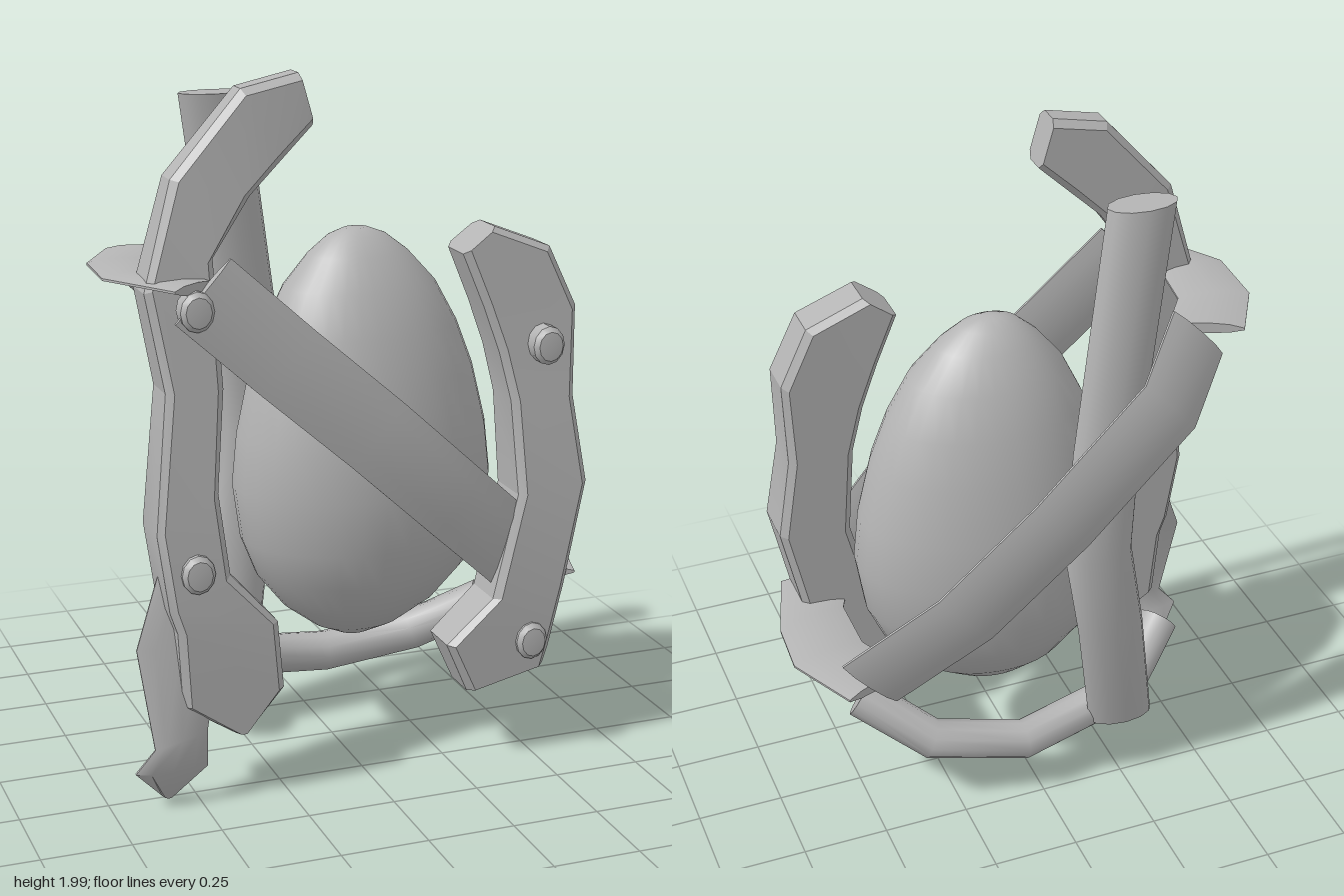
import * as THREE from 'three';
import { toCreasedNormals } from 'three/addons/utils/BufferGeometryUtils.js';

const V = (x, y, z) => new THREE.Vector3(x, y, z);

// Skin a list of equal-sized vertex rings, capped at both ends, facing outward
function loft(rings, crease) {
  const n = rings[0].length;
  const tris = [];
  for (let i = 0; i < rings.length - 1; i++) {
    for (let j = 0; j < n; j++) {
      const k = (j + 1) % n;
      const a = rings[i][j], b = rings[i][k], c = rings[i + 1][k], d = rings[i + 1][j];
      tris.push([a, b, c], [a, c, d]);
    }
  }
  const last = rings[rings.length - 1];
  for (let j = 1; j < n - 1; j++) {
    tris.push([rings[0][0], rings[0][j + 1], rings[0][j]], [last[0], last[j], last[j + 1]]);
  }
  let volume = 0;
  for (const [a, b, c] of tris) volume += a.dot(b.clone().cross(c));
  const pos = [];
  for (const [a, b, c] of tris) {
    for (const p of volume > 0 ? [a, b, c] : [a, c, b]) pos.push(p.x, p.y, p.z);
  }
  const geo = new THREE.BufferGeometry();
  geo.setAttribute('position', new THREE.Float32BufferAttribute(pos, 3));
  return toCreasedNormals(geo, crease);
}

// Piecewise linear lookup in [position, value] pairs sorted by position
function lerpTable(table, t) {
  if (t <= table[0][0]) return table[0][1];
  for (let i = 1; i < table.length; i++) {
    const [t0, v0] = table[i - 1], [t1, v1] = table[i];
    if (t <= t1) return v0 + (v1 - v0) * (t - t0) / (t1 - t0);
  }
  return table[table.length - 1][1];
}
const frontZ = y => lerpTable([[0.2, 0.335], [0.52, 0.352], [0.8, 0.345], [1.2, 0.305], [1.56, 0.28], [1.85, 0.24]], y);
const backZ = y => lerpTable([[0.2, 0.19], [0.8, 0.165], [1.5, 0.14]], y);

// Thick bevelled plate; each station is [leftX, leftY, rightX, rightY]
function plate(stations) {
  const b = 0.02;
  return loft(stations.map(([lx, ly, rx, ry]) => {
    const l = V(lx, ly, 0), r = V(rx, ry, 0);
    const step = Math.min(b / l.distanceTo(r), 0.3);
    const at = (t, front, inset) => {
      const p = l.clone().lerp(r, t);
      p.z = front ? frontZ(p.y) - inset : backZ(p.y) + inset;
      return p;
    };
    return [at(0, true, b), at(step, true, 0), at(1 - step, true, 0), at(1, true, b),
      at(1, false, b), at(1 - step, false, 0), at(step, false, 0), at(0, false, b)];
  }), 0.25);
}

// Thin band with a lens-shaped section; each station is a pair of edge points
function band(pairs, half) {
  const mid = pairs.map(([l, r]) => l.clone().lerp(r, 0.5));
  return loft(pairs.map(([l, r], i) => {
    const tangent = mid[Math.min(i + 1, mid.length - 1)].clone().sub(mid[Math.max(i - 1, 0)]);
    const normal = r.clone().sub(l).cross(tangent).normalize();
    const at = (t, h) => l.clone().lerp(r, t).addScaledVector(normal, h * half);
    return [at(0, 0.2), at(0.2, 0.8), at(0.5, 1), at(0.8, 0.8), at(1, 0.2),
      at(1, -0.2), at(0.8, -0.8), at(0.5, -1), at(0.2, -0.8), at(0, -0.2)];
  }), 0.6);
}

// Diagonal strap of constant width along centre points
function strap(points) {
  const side = V(0.68, 0.73, 0).multiplyScalar(0.113);
  return band(points.map(p => [p.clone().sub(side), p.clone().add(side)]), 0.018);
}

// Tube whose ring axes u and v are given for each path point
function tube(points, axes) {
  const sides = 12;
  return loft(points.map((p, i) => {
    const [u, v] = axes(i);
    return Array.from({ length: sides }, (_, j) => {
      const a = j / sides * Math.PI * 2;
      return p.clone().addScaledVector(u, Math.cos(a)).addScaledVector(v, Math.sin(a));
    });
  }), 0.8);
}

export function createModel() {
  const model = new THREE.Group();
  const grey = new THREE.MeshStandardMaterial({ color: 0xb4b4b4 });
  grey.name = 'grey';
  const add = (name, geo) => {
    const mesh = new THREE.Mesh(geo, grey);
    mesh.name = name;
    model.add(mesh);
    return mesh;
  };

  // Egg-shaped core, wider toward +x
  const profile = [[0, 0.32], [0.12, 0.325], [0.34, 0.36], [0.6, 0.43], [0.82, 0.53], [0.94, 0.64],
    [1, 0.8], [0.96, 0.95], [0.86, 1.12], [0.74, 1.25], [0.58, 1.37], [0.38, 1.46], [0.22, 1.51], [0.09, 1.53], [0, 1.53]];
  const egg = new THREE.LatheGeometry(profile.map(([r, y]) => new THREE.Vector2(r, y)), 32);
  const ep = egg.attributes.position;
  for (let i = 0; i < ep.count; i++) {
    const x = ep.getX(i);
    ep.setXYZ(i, 0.07 + x * (x > 0 ? 0.41 : 0.36), ep.getY(i), ep.getZ(i) * 0.272 - 0.005);
  }
  egg.deleteAttribute('uv');
  add('core', toCreasedNormals(egg, 0.9));

  // Curved side plates
  add('rightPlate', plate([
    [-0.175, 2.0, -0.135, 1.86], [-0.335, 1.965, -0.23, 1.77], [-0.535, 1.74, -0.32, 1.685],
    [-0.62, 1.45, -0.43, 1.53], [-0.573, 1.18, -0.413, 1.18], [-0.615, 0.8, -0.44, 0.9],
    [-0.585, 0.58, -0.413, 0.67], [-0.565, 0.52, -0.28, 0.52], [-0.55, 0.3, -0.26, 0.32],
    [-0.4, 0.2, -0.36, 0.2]]));
  add('leftPlate', plate([
    [0.285, 1.49, 0.38, 1.56], [0.345, 1.34, 0.545, 1.495], [0.39, 1.21, 0.623, 1.325],
    [0.423, 1.07, 0.613, 1.07], [0.44, 0.8, 0.65, 0.82], [0.365, 0.5, 0.585, 0.52],
    [0.228, 0.375, 0.545, 0.33], [0.295, 0.225, 0.53, 0.28]]));

  // Diagonal straps in front of and behind the core
  add('frontStrap', strap([V(-0.48, 1.46, 0.335), V(-0.25, 1.25, 0.35), V(0, 1.03, 0.365),
    V(0.25, 0.8, 0.35), V(0.46, 0.61, 0.29)]));
  add('backStrap', strap([V(-0.47, 1.46, -0.185), V(-0.33, 1.33, -0.32), V(0, 1.05, -0.367),
    V(0.28, 0.8, -0.355), V(0.53, 0.57, -0.25)]));

  // Flat hoops wrapping each side
  const hoop = (y, pts) => band(pts.map(([ox, oz, ix, iz]) => [V(ox, y, oz), V(ix, y, iz)]), 0.016);
  add('rightHoop', hoop(1.47, [[-0.59, -0.23, -0.4, -0.14], [-0.69, -0.055, -0.49, -0.01],
    [-0.7, 0.15, -0.51, 0.14], [-0.565, 0.37, -0.42, 0.3]]));
  add('leftHoop', hoop(0.55, [[0.6, -0.28, 0.405, -0.2], [0.7, -0.075, 0.485, -0.04],
    [0.69, 0.1, 0.485, 0.14], [0.62, 0.33, 0.42, 0.29]]));

  // Oval tube rising behind the core
  const rise = [V(-0.28, 1.9, -0.205), V(-0.17, 1.2, -0.265), V(-0.14, 0.88, -0.295),
    V(-0.19, 0.6, -0.28), V(-0.26, 0.2, -0.21)];
  add('backTube', tube(rise, () => [V(0.1, 0, 0), V(0, 0, 0.052)]));

  // Round tube curving under the core
  const under = [V(-0.46, 0.37, -0.035), V(-0.3, 0.235, -0.15), V(0.05, 0.185, -0.205),
    V(0.32, 0.235, -0.16), V(0.5, 0.355, -0.04)];
  add('lowerTube', tube(under, i => {
    const t = under[Math.min(i + 1, 4)].clone().sub(under[Math.max(i - 1, 0)]).normalize();
    const u = t.clone().cross(V(0, 0, 1)).normalize();
    return [u.clone().multiplyScalar(0.06), t.cross(u).multiplyScalar(0.06)];
  }));

  // Hooked fang below the right plate
  add('fang', band([
    [V(-0.59, 0.68, 0.25), V(-0.45, 0.68, 0.25)], [V(-0.67, 0.47, 0.29), V(-0.43, 0.47, 0.29)],
    [V(-0.635, 0.19, 0.33), V(-0.485, 0.23, 0.33)], [V(-0.69, 0.125, 0.325), V(-0.48, 0.115, 0.31)],
    [V(-0.6, 0.02, 0.26), V(-0.565, 0.012, 0.25)]], 0.014));

  // Domed bolts
  const head = [[0, -0.035], [0.05, -0.035], [0.05, 0.008], [0.038, 0.022], [0, 0.026]];
  const boltGeo = new THREE.LatheGeometry(head.map(([r, y]) => new THREE.Vector2(r, y)), 12);
  boltGeo.rotateX(Math.PI / 2);
  boltGeo.scale(0.94, 1.1, 1);
  const bolt = toCreasedNormals(boltGeo, 0.6);
  for (const [x, y, z] of [[-0.5, 1.41, 0.345], [-0.51, 0.69, 0.35], [0.515, 1.23, 0.335], [0.48, 0.365, 0.345]]) {
    add('bolt', bolt).position.set(x, y, z);
  }
  return model;
}
